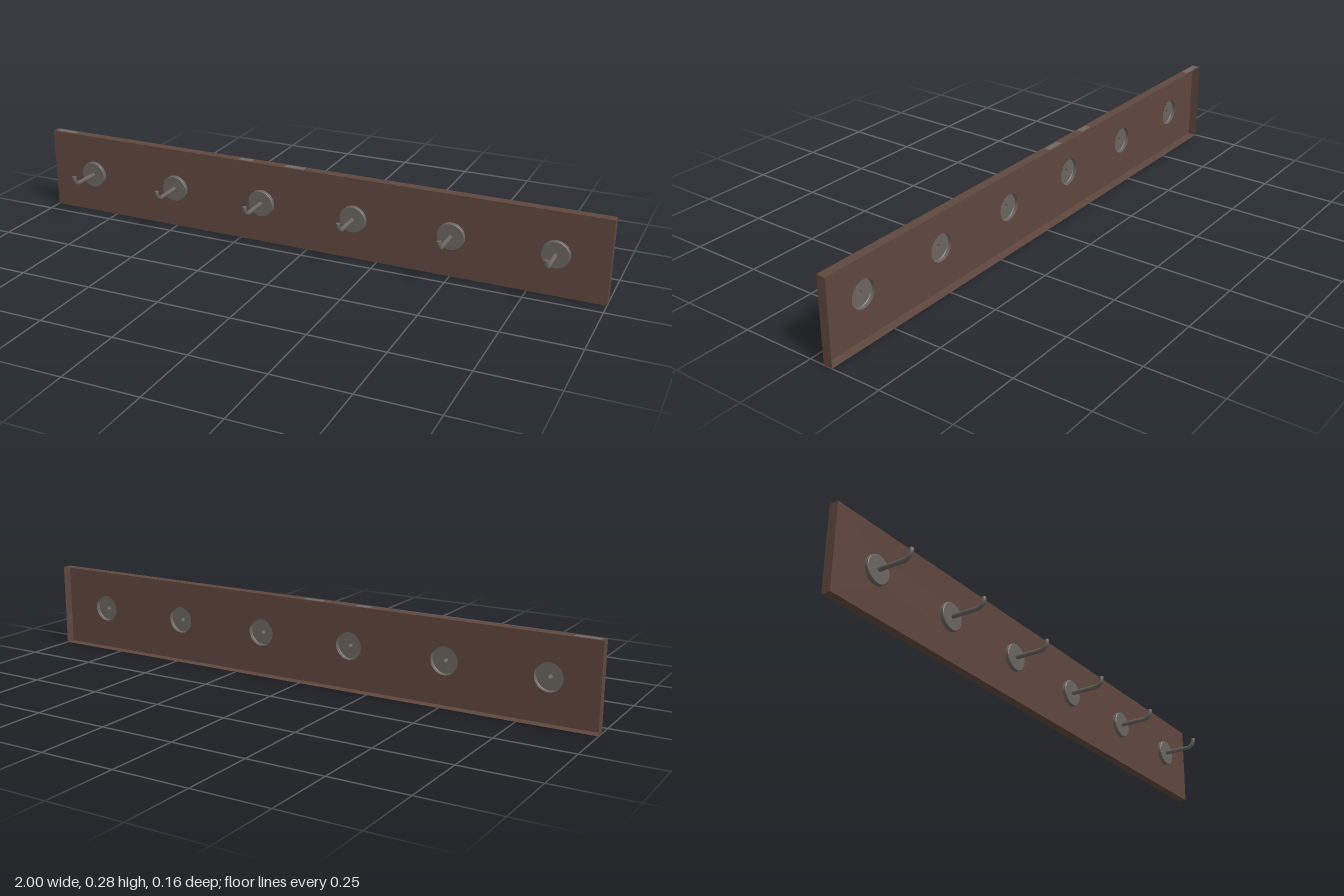
import * as THREE from 'three';

const WIDTH = 2, HEIGHT = 0.28, FRONT = -0.051, BACK = -0.082;
const HOOKS = 6, HOOK_Y = 0.141, PLATE_R = 0.0455, ROD_R = 0.0075, PLATE_FRONT = -0.038;

export function createModel() {
  const wood = new THREE.MeshStandardMaterial({ color: 0x5f473e, side: THREE.DoubleSide });
  wood.name = 'brown wood';
  const metal = new THREE.MeshStandardMaterial({ color: 0x6a655f, side: THREE.DoubleSide });
  metal.name = 'grey metal';
  const worn = new THREE.MeshStandardMaterial({ color: 0x706a66 });
  worn.name = 'worn wood';

  const model = new THREE.Group();
  model.name = 'hookRail';
  const add = (parent, name, geometry, material, x = 0, y = 0, z = 0) => {
    const mesh = new THREE.Mesh(geometry, material);
    mesh.name = name;
    mesh.position.set(x, y, z);
    parent.add(mesh);
    return mesh;
  };

  const hookX = Array.from({ length: HOOKS }, (_, i) => -WIDTH / 2 + (i + 0.5) * WIDTH / HOOKS);

  // Front panel, pierced behind each hook plate
  const panel = new THREE.Shape();
  panel.moveTo(-1, 0).lineTo(1, 0).lineTo(1, HEIGHT).lineTo(-1, HEIGHT).closePath();
  for (const x of hookX) {
    panel.holes.push(new THREE.Path().absarc(x, HOOK_Y, PLATE_R, 0, Math.PI * 2, true));
  }
  add(model, 'frontPanel', new THREE.ShapeGeometry(panel, 16), wood, 0, 0, FRONT);

  // Open-backed rim of the board
  const depth = FRONT - BACK, midZ = (FRONT + BACK) / 2;
  for (const side of [-1, 1]) {
    const end = add(model, side > 0 ? 'leftEnd' : 'rightEnd',
      new THREE.PlaneGeometry(depth, HEIGHT), wood, side, HEIGHT / 2, midZ);
    end.rotation.y = side * Math.PI / 2;
    const edge = add(model, side > 0 ? 'topEdge' : 'bottomEdge',
      new THREE.PlaneGeometry(WIDTH, depth), wood, 0, side > 0 ? HEIGHT : 0, midZ);
    edge.rotation.x = -side * Math.PI / 2;
  }

  // Small worn patches along the top edge
  for (const [x, w] of [[-0.95, 0.08], [-0.23, 0.05], [-0.05, 0.07]]) {
    add(model, 'wornPatch', new THREE.BoxGeometry(w, 0.001, 0.02), worn, x, HEIGHT, midZ);
  }

  // Round plate with a softened rim, open at the back and around the rod
  const plateGeometry = new THREE.LatheGeometry([
    [PLATE_R, FRONT], [PLATE_R, PLATE_FRONT - 0.002], [PLATE_R, PLATE_FRONT - 0.002],
    [PLATE_R - 0.002, PLATE_FRONT], [PLATE_R - 0.002, PLATE_FRONT], [ROD_R, PLATE_FRONT],
  ].map(([r, z]) => new THREE.Vector2(r, z)), 32).rotateX(Math.PI / 2);

  // Rod: straight out, quarter bend, short upturned tip
  const bend = 0.026, tipZ = 0.0755, tipY = 0.031;
  const path = new THREE.CurvePath();
  const v = (y, z) => new THREE.Vector3(0, y, z);
  path.add(new THREE.LineCurve3(v(0, PLATE_FRONT), v(0, tipZ - bend)));
  path.add(new THREE.CubicBezierCurve3(v(0, tipZ - bend), v(0, tipZ - bend * 0.448),
    v(bend * 0.448, tipZ), v(bend, tipZ)));
  path.add(new THREE.LineCurve3(v(bend, tipZ), v(tipY, tipZ)));
  const rodGeometry = new THREE.TubeGeometry(path, 48, ROD_R, 16, false);
  const capGeometry = new THREE.CircleGeometry(ROD_R, 16).rotateX(-Math.PI / 2);

  hookX.forEach((x, i) => {
    const hook = new THREE.Group();
    hook.name = `hook${i + 1}`;
    hook.position.set(x, HOOK_Y, 0);
    add(hook, 'hookPlate', plateGeometry, metal);
    add(hook, 'hookRod', rodGeometry, metal);
    add(hook, 'hookTip', capGeometry, metal, 0, tipY, tipZ);
    model.add(hook);
  });

  return model;
}
